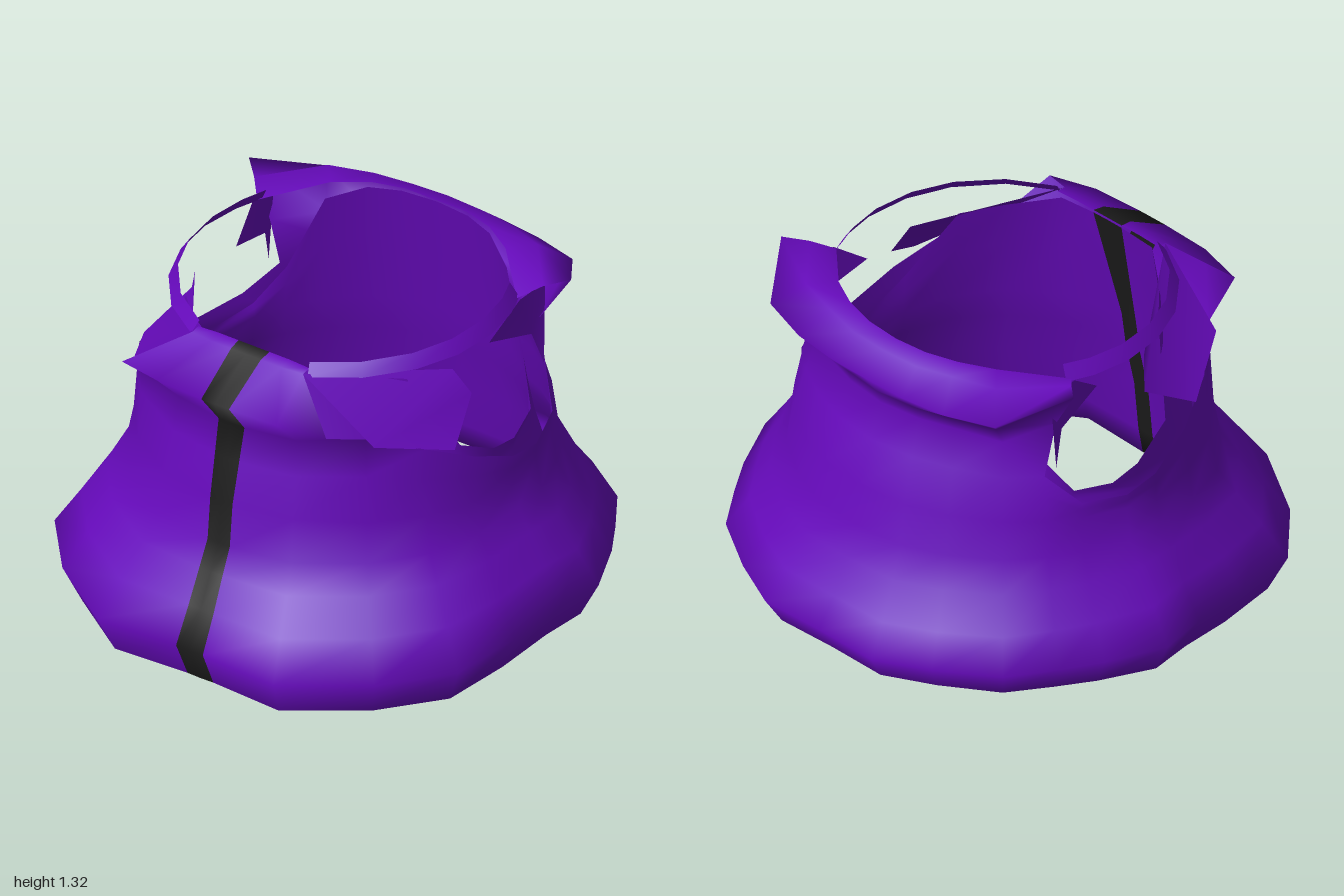
import * as THREE from 'three';

const purple = new THREE.MeshStandardMaterial({ color: 0x660abc, side: THREE.DoubleSide });
purple.name = 'purple cloth';
const black = new THREE.MeshStandardMaterial({ color: 0x1c1c1c, side: THREE.DoubleSide });
black.name = 'black stripe';

const lerp = THREE.MathUtils.lerp;
const flip = ([x, y, z]) => [-x, y, z];
const polar = (deg, r, y) => {
  const a = THREE.MathUtils.degToRad(deg);
  return [r * Math.sin(a), y, r * Math.cos(a)];
};
// Complete a half row (+x side) across the front or across the back
const overFront = row => [...row.slice(1).reverse().map(flip), ...row];
const overBack = row => [...row, ...row.slice(0, -1).reverse().map(flip)];

// Skin rows of points; columns next to the middle one can form the stripe
function loft(name, rows, { closed = false, stripeAt = -1 } = {}) {
  const n = rows[0].length;
  const cloth = [], stripe = [];
  for (let j = 0; j < rows.length - 1; j++) {
    for (let i = 0; i < (closed ? n : n - 1); i++) {
      const k = (i + 1) % n;
      const a = j * n + i, b = j * n + k, c = a + n, d = b + n;
      const inStripe = stripeAt >= 0 && (i === stripeAt || i === stripeAt - 1);
      (inStripe ? stripe : cloth).push(a, b, d, a, d, c);
    }
  }
  const geo = new THREE.BufferGeometry();
  geo.setAttribute('position', new THREE.Float32BufferAttribute(rows.flat(2), 3));
  geo.setIndex([...cloth, ...stripe]);
  geo.addGroup(0, cloth.length, 0);
  if (stripe.length) geo.addGroup(cloth.length, stripe.length, 1);
  geo.computeVertexNormals();
  const mesh = new THREE.Mesh(geo, [purple, black]);
  mesh.name = name;
  return mesh;
}

// Flat-ish patch fanned from its first corner
function patch(name, corners) {
  const geo = new THREE.BufferGeometry();
  geo.setAttribute('position', new THREE.Float32BufferAttribute(corners.flat(), 3));
  const index = [];
  for (let i = 1; i < corners.length - 1; i++) index.push(0, i, i + 1);
  geo.setIndex(index);
  geo.computeVertexNormals();
  const mesh = new THREE.Mesh(geo, purple);
  mesh.name = name;
  return mesh;
}

// Share normals where meshes meet, so the cloth shades as one piece
function blendSeams(meshes) {
  const sums = new Map();
  const visit = fn => meshes.forEach(({ geometry: { attributes: { position: p, normal: n } } }) => {
    for (let i = 0; i < p.count; i++) {
      const key = [p.getX(i), p.getY(i), p.getZ(i)].map(v => Math.round(v * 1e4)).join();
      fn(key, n, i);
    }
  });
  visit((key, n, i) => {
    if (!sums.has(key)) sums.set(key, new THREE.Vector3());
    sums.get(key).add(new THREE.Vector3().fromBufferAttribute(n, i));
  });
  visit((key, n, i) => {
    const v = sums.get(key).clone().normalize();
    n.setXYZ(i, v.x, v.y, v.z);
  });
}

// Columns from front to back: angle, hem radius, wall edge height and radius, lining edge height and radius
const columns = [
  [0, 0.96, 1.0, 0.70, 1.25, 0.56], [3.5, 0.96, 1.0, 0.70, 1.25, 0.56],
  [22, 1.06, 1.0, 0.71, 1.24, 0.60], [42, 1.05, 1.04, 0.75, 1.20, 0.57],
  [59, 1.06, 0.965, 0.75, 1.17, 0.58], [75, 0.985, 0.87, 0.75, 0.88, 0.67],
  [90, 0.975, 0.79, 0.76, 0.79, 0.67], [101, 1.02, 0.77, 0.77, 0.77, 0.68],
  [115, 0.99, 0.80, 0.77, 0.80, 0.69], [125, 0.985, 0.92, 0.73, 0.95, 0.65],
  [137, 1.01, 1.05, 0.68, 1.25, 0.60], [152, 1.0, 1.08, 0.66, 1.31, 0.585],
  [165, 1.02, 1.08, 0.65, 1.32, 0.575], [180, 0.98, 1.08, 0.65, 1.32, 0.57],
];
// Rows from the hem upward: radius, hem influence, height at front, side, back, half stripe width
const wallLevels = [
  [0.92, 1, 0.01, 0.08, 0.115, 0.058], [0.99, 1, 0.16, 0.23, 0.23, 0.06],
  [0.91, 0.8, 0.30, 0.37, 0.34, 0.056], [0.84, 0.5, 0.43, 0.49, 0.48, 0.052],
  [0.785, 0.25, 0.53, 0.58, 0.60, 0.05], [0.765, 0.1, 0.70, 0.68, 0.77, 0.05],
];
const liningLevels = [
  [0.92, 1, 0.01, 0.08, 0.115, 0.058], [0.82, 0.9, 0.05, 0.11, 0.15, 0.045],
  [0.78, 0.7, 0.18, 0.24, 0.26, 0.035], [0.75, 0.4, 0.40, 0.45, 0.46, 0.035],
  [0.70, 0.2, 0.60, 0.60, 0.65, 0.035], [0.675, 0.05, 0.75, 0.69, 0.80, 0.035],
];

// Half rows of a layer; its top edge is read from the given table columns
function layerRows(levels, heightAt, radiusAt, edgeStripe) {
  const place = (i, r, y, stripeHalf) => {
    const p = polar(columns[i][0], r, y);
    if (i === 1) p[0] = stripeHalf;
    return p;
  };
  const rows = levels.map(([r, w, front, side, back, half]) => columns.map(([deg, hem], i) => {
    const c = Math.cos(THREE.MathUtils.degToRad(deg));
    const y = lerp(side, c > 0 ? front : back, Math.abs(c) ** 0.7);
    return place(i, r * lerp(1, hem / 0.99, w), y, half);
  }));
  const last = rows[rows.length - 1];
  const edge = columns.map((col, i) => place(i, col[radiusAt], col[heightAt], edgeStripe));
  const middle = last.map((p, i) => p.map((v, k) => lerp(v, edge[i][k], 0.55)));
  return [...rows, middle, edge];
}

export function createModel() {
  const group = new THREE.Group();
  group.name = 'clothCollar';
  const ring = { closed: true, stripeAt: columns.length - 2 };
  const around = row => overFront(row).slice(1);

  // Flared wall with a dipped edge at each side, and the lining inside it
  const rows = layerRows(wallLevels, 2, 3, 0.058);
  const edge = rows[rows.length - 1];
  const wall = loft('flaredWall', rows.map(around), ring);
  const liningRows = layerRows(liningLevels, 4, 5, 0.07);
  const lining = loft('innerLining', liningRows.map(row => around(row).reverse()),
    { closed: true, stripeAt: columns.length - 1 });

  // Front collar: folds outward, then back in to the neck
  const frontCollar = loft('frontCollar', [
    edge.slice(0, 4),
    [[0, 1.13, 0.80], [0.062, 1.13, 0.80], [0.27, 1.13, 0.79], [0.46, 1.12, 0.745]],
    [[0, 1.25, 0.61], [0.067, 1.25, 0.61], [0.16, 1.25, 0.61], [0.25, 1.25, 0.60]],
    [[0, 1.26, 0.56], [0.07, 1.26, 0.56], [0.16, 1.26, 0.56], [0.25, 1.255, 0.56]],
  ].map(overFront), { stripeAt: 3 });

  // Back collar: taller, with a flared corner at each end
  const backAngles = [125, 139, 153, 166, 180];
  const backRow = (radii, heights, first) =>
    backAngles.map((deg, i) => polar(i ? deg : first, radii[i], heights[i]));
  const backCollar = loft('backCollar', [
    edge.slice(9),
    backRow([0.70, 0.71, 0.68, 0.67, 0.67], [1.13, 1.13, 1.14, 1.14, 1.14], 121),
    backRow([0.83, 0.85, 0.79, 0.75, 0.73], [1.33, 1.24, 1.23, 1.23, 1.23], 119),
    backRow([0.73, 0.72, 0.67, 0.65, 0.64], [1.31, 1.32, 1.32, 1.31, 1.31], 117),
    backRow([0.64, 0.60, 0.59, 0.58, 0.57], [1.27, 1.32, 1.33, 1.33, 1.325], 114),
  ].map(overBack));
  blendSeams([wall, frontCollar, backCollar]);
  group.add(wall, lining, frontCollar, backCollar);

  for (const [side, m] of [['left', p => p], ['right', flip]]) {
    const order = list => (side === 'left' ? list : [...list].reverse());

    // Neck band bridging the side opening
    const angles = [24, 42, 60, 76, 92, 106, 116];
    const low = angles.map((d, i) => m(polar(d, 0.645, 1.235 + 0.005 * i)));
    const high = angles.map((d, i) => m(polar(d, 0.61, 1.28 + 0.007 * i)));
    group.add(loft(side + 'NeckBand', [order(low), order(high)]));

    // Loose flap beside the front collar
    group.add(patch(side + 'FrontFlap', order([
      [0.54, 1.02, 0.56], [0.70, 0.93, 0.28], [0.63, 1.05, 0.08],
      [0.58, 1.16, 0.13], [0.25, 1.25, 0.60],
    ].map(m))));

    // Jagged point at the back of the opening
    group.add(patch(side + 'BackPoint', order([
      [0.60, 1.09, -0.33], [0.62, 0.95, -0.38], [0.61, 1.28, -0.40],
      [0.60, 1.27, -0.26], [0.57, 1.15, -0.11],
    ].map(m)).map((p, i, all) => all[(i + (side === 'left' ? 0 : 4)) % 5])));
  }
  return group;
}
